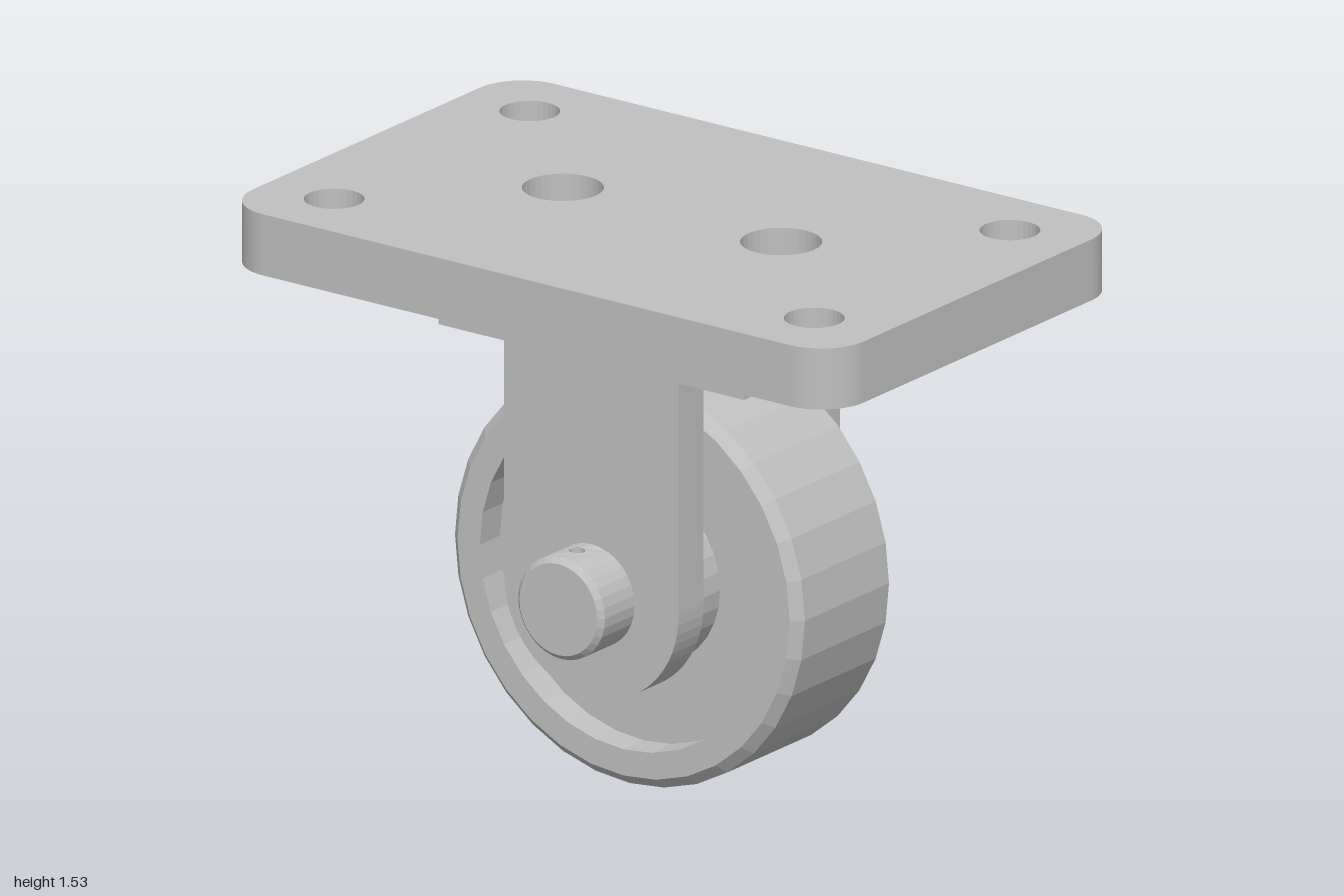
import * as THREE from 'three';

const AXLE_Y = 0.572, AXLE_R = 0.142;

export function createModel() {
  const group = new THREE.Group();
  const steel = new THREE.MeshStandardMaterial({ color: 0xc0c0c0, flatShading: true });
  steel.name = 'grey steel';
  steel.side = THREE.DoubleSide;

  const add = (name, geometry, y = 0, parent = group) => {
    const mesh = new THREE.Mesh(geometry, steel);
    mesh.name = name;
    mesh.position.y = y;
    parent.add(mesh);
    return mesh;
  };

  // Rectangle in x/z with optional rounded corners
  const rect = (w, d, r = 0) => {
    const s = new THREE.Shape();
    if (!r) {
      s.moveTo(-w, -d).lineTo(w, -d).lineTo(w, d).lineTo(-w, d).closePath();
      return s;
    }
    s.moveTo(-w + r, -d);
    s.lineTo(w - r, -d).absarc(w - r, -d + r, r, -Math.PI / 2, 0);
    s.lineTo(w, d - r).absarc(w - r, d - r, r, 0, Math.PI / 2);
    s.lineTo(-w + r, d).absarc(-w + r, d - r, r, Math.PI / 2, Math.PI);
    s.lineTo(-w, -d + r).absarc(-w + r, -d + r, r, Math.PI, Math.PI * 1.5);
    return s;
  };
  const drill = (shape, x, z, r) =>
    shape.holes.push(new THREE.Path().absarc(x, z, r, 0, Math.PI * 2, true));
  const slab = (shape, height) =>
    new THREE.ExtrudeGeometry(shape, { depth: height, bevelEnabled: false, curveSegments: 16 })
      .rotateX(-Math.PI / 2);
  // Turned part whose axis runs along z
  const turned = (points, segments = 32, start = 0, length = Math.PI * 2) =>
    new THREE.LatheGeometry(points.map(p => new THREE.Vector2(...p)), segments, start, length)
      .rotateX(Math.PI / 2);

  // Top plate in two layers, so that the screw holes are counterbored
  const plateLayer = (screwR) => {
    const s = rect(1, 0.64, 0.14);
    for (const x of [-1, 1]) {
      for (const z of [-1, 1]) drill(s, x * 0.785, z * 0.43, 0.08);
      drill(s, x * 0.357, 0, screwR);
    }
    return s;
  };
  add('plateLower', slab(plateLayer(0.066), 0.09), 1.36);
  add('plateUpper', slab(plateLayer(0.108), 0.08), 1.45);

  // Fork block with narrower screw holes
  const block = rect(0.5, 0.355);
  for (const x of [-1, 1]) drill(block, x * 0.357, 0, 0.05);
  add('forkBlock', slab(block, 0.14), 1.22);

  // Fork arms with rounded lower ends
  const arm = new THREE.Shape();
  arm.moveTo(0.285, 1.22 - AXLE_Y).lineTo(-0.285, 1.22 - AXLE_Y).lineTo(-0.285, 0);
  arm.absarc(0, 0, 0.285, Math.PI, Math.PI * 2);
  const armGeometry = new THREE.ExtrudeGeometry(arm, { depth: 0.11, bevelEnabled: false, curveSegments: 16 });
  for (const [name, z] of [['frontArm', 0.245], ['backArm', -0.355]]) {
    add(name, armGeometry, AXLE_Y).position.z = z;
  }

  // Wheel with chamfered tread, recessed web, hub and spacer bosses
  const half = [[0.14, -0.245], [0.17, -0.245], [0.17, -0.213], [0.25, -0.213], [0.25, -0.125],
    [0.47, -0.125], [0.47, -0.213], [0.543, -0.213], [0.572, -0.185]];
  const wheelProfile = [...half, ...half.map(([r, z]) => [r, -z]).reverse()];
  add('wheel', turned(wheelProfile), AXLE_Y);

  // Axle shaft and its two ends, each with a cross-drilled pin hole
  add('axleShaft', turned([[AXLE_R, -0.35], [AXLE_R, 0.35]]), AXLE_Y);
  const gap = Math.PI / 8, z0 = 0.35, z1 = 0.485, zMid = (z0 + z1) / 2, pinR = 0.022;
  const w = AXLE_R * Math.sin(gap), w2 = AXLE_R * Math.sin(gap / 2), d = (z1 - z0) / 2;
  const panelShape = new THREE.Shape(
    [[-w, -d], [-w2, -d], [0, -d], [w2, -d], [w, -d], [w, d], [w2, d], [0, d], [-w2, d], [-w, d]]
      .map(p => new THREE.Vector2(...p)));
  drill(panelShape, 0, 0, pinR);
  const panel = new THREE.ShapeGeometry(panelShape, 8).rotateX(-Math.PI / 2);
  const pos = panel.attributes.position;
  for (let i = 0; i < pos.count; i++) pos.setY(i, Math.sqrt(AXLE_R ** 2 - pos.getX(i) ** 2));
  panel.translate(0, 0, zMid);
  const pinWall = new THREE.CylinderGeometry(pinR, pinR, AXLE_R * 1.98, 16, 1, true).translate(0, 0, zMid);

  for (const [name, turn] of [['frontAxleEnd', 0], ['backAxleEnd', Math.PI]]) {
    const end = new THREE.Group();
    end.name = name;
    end.position.y = AXLE_Y;
    end.rotation.y = turn;
    group.add(end);
    for (const start of [gap, Math.PI + gap]) {
      add('axleSide', turned([[AXLE_R, z0], [AXLE_R, z1]], 12, start, Math.PI - 2 * gap), 0, end);
    }
    add('axleTip', turned([[AXLE_R, z1], [0.127, 0.5], [0, 0.5]]), 0, end);
    for (const flip of [0, Math.PI]) add('pinHoleRim', panel, 0, end).rotation.z = flip;
    add('pinHole', pinWall, 0, end);
  }
  return group;
}
